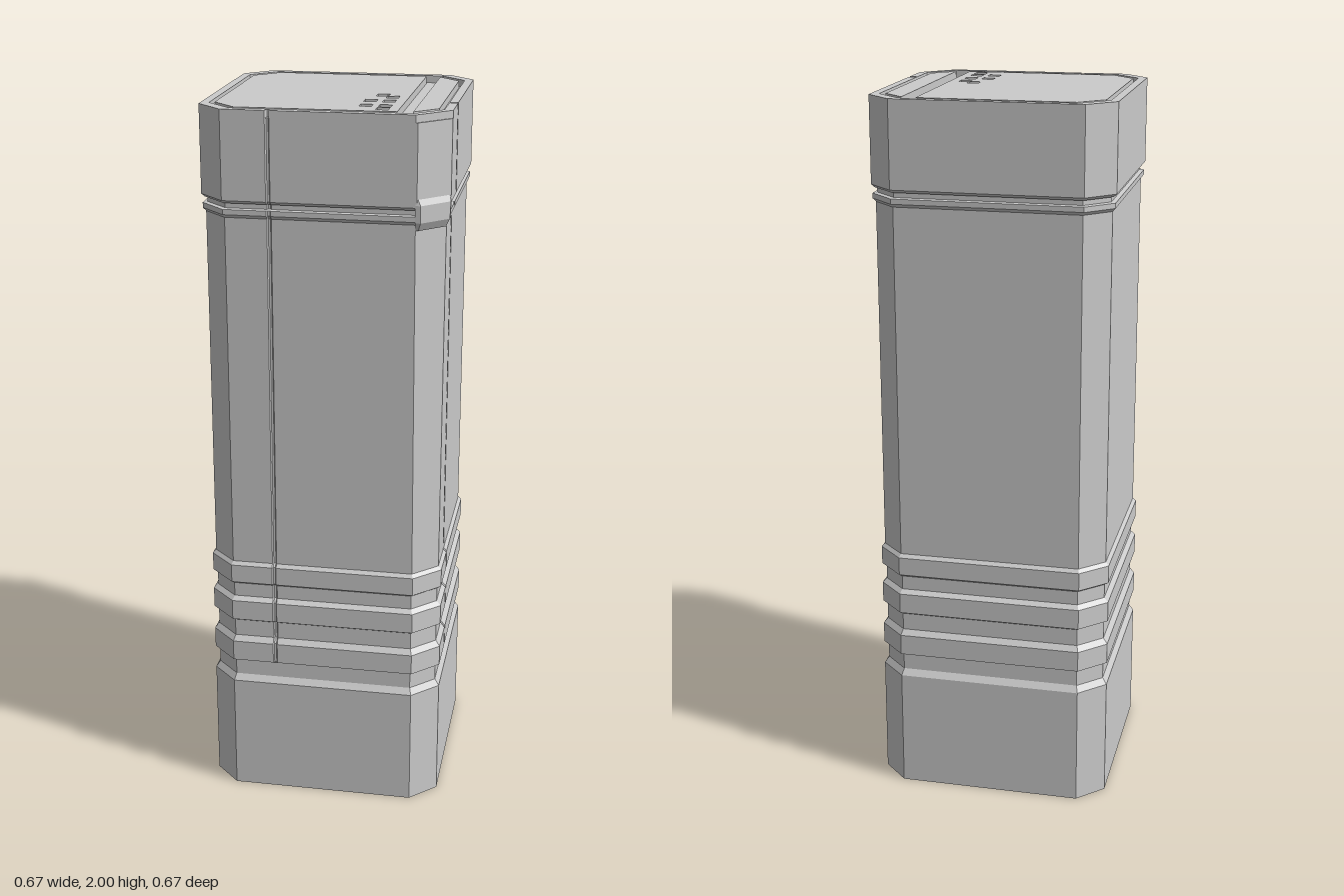
import * as THREE from 'three';

const material = new THREE.MeshStandardMaterial({ color: 0xcccccc, flatShading: true });

// Chamfered square outline [x, z], with two seam notches beside the front-left corner.
// h: half width, cut: extra chamfer of that corner, d: notch depth
function outline(h, cut = 0, d = 0.005) {
  const e = 0.26 - (0.333 - h) * 0.414;
  return [
    [-e, h], [-0.142, h], [-0.139, h - d], [-0.133, h - d], [-0.13, h], [e - cut, h],
    [h, e - cut], [h, 0.14], [h - d, 0.138], [h - d, 0.132], [h, 0.13], [h, -e],
    [e, -h], [-e, -h], [-h, -e], [-h, e],
  ];
}

// Closed loft through outlines; rows are [y, outline]
function loft(rows) {
  const pos = [];
  const tri = (...pts) => pts.forEach((p) => pos.push(...p));
  const rings = rows.map(([y, pts]) => pts.map(([x, z]) => [x, y, z]));
  const n = rings[0].length;
  const last = rings.length - 1;
  for (let i = 0; i < n; i++) {
    const j = (i + 1) % n;
    for (let r = 0; r < last; r++) {
      const a = rings[r], b = rings[r + 1];
      tri(a[i], a[j], b[j]);
      tri(a[i], b[j], b[i]);
    }
    tri([0, rows[0][0], 0], rings[0][j], rings[0][i]);
    tri([0, rows[last][0], 0], rings[last][i], rings[last][j]);
  }
  const g = new THREE.BufferGeometry();
  g.setAttribute('position', new THREE.Float32BufferAttribute(pos, 3));
  g.computeVertexNormals();
  return g;
}

const toVectors = (pts) => pts.map(([x, z]) => new THREE.Vector2(x, -z));

// Flat plate with holes, standing on height y
function plate(pts, holes, y, depth) {
  const shape = new THREE.Shape(toVectors(pts));
  holes.forEach((hole) => shape.holes.push(new THREE.Path(toVectors(hole))));
  const g = new THREE.ExtrudeGeometry(shape, { depth, bevelEnabled: false });
  g.rotateX(-Math.PI / 2);
  g.translate(0, y, 0);
  return g;
}

const octagon = (h, e) => [
  [-e, h], [e, h], [h, e], [h, -e], [e, -h], [-e, -h], [-h, -e], [-h, e],
];

export function createModel() {
  const group = new THREE.Group();
  const add = (name, geometry) => {
    const mesh = new THREE.Mesh(geometry, material);
    mesh.name = name;
    group.add(mesh);
  };

  // Base block and three raised ribs: [y, half width, notch depth]
  const lower = [
    [0, 0.331, 0], [0.342, 0.331, 0], [0.36, 0.319, 0], [0.405, 0.319, 0],
    [0.411, 0.331], [0.47, 0.331], [0.486, 0.319], [0.535, 0.319],
    [0.542, 0.331], [0.6, 0.331], [0.612, 0.319], [0.652, 0.319],
    [0.66, 0.331], [0.712, 0.331], [0.722, 0.322],
  ].map(([y, h, d]) => [y, outline(h, 0, d)]);
  // Plain shaft and collar below the lid
  const shaft = [[1.715, 0.322], [1.724, 0.33], [1.738, 0.33], [1.74, 0.318]]
    .map(([y, h]) => [y, outline(h, 0.006)]);
  add('body', loft([...lower, ...shaft]));

  // Lid
  add('lidNeck', loft([[1.738, outline(0.318)], [1.757, outline(0.318)]]));
  add('lid', loft([
    [1.754, outline(0.325, 0.006)], [1.762, outline(0.333, 0.006)], [1.98, outline(0.333, 0.006)],
  ]));
  add('lidRim', plate(outline(0.333, 0.012, 0.02), [octagon(0.31, 0.24)], 1.98, 0.02));

  // Lid top: main panel with small square recesses, and a side strip
  const s = 0.0165;
  const squares = [
    [0.122, 0.045], [0.152, 0.072], [0.102, 0.138], [0.152, 0.138],
    [0.102, 0.212], [0.152, 0.212], [0.152, 0.256],
  ].map(([x, z]) => [[x - s, z - s], [x + s, z - s], [x + s, z + s], [x - s, z + s]]);
  add('topPanel', plate([
    [-0.232, 0.295], [0.195, 0.295], [0.195, -0.297],
    [-0.232, -0.297], [-0.297, -0.232], [-0.297, 0.23],
  ], squares, 1.98, 0.02));
  add('topStrip', plate([
    [0.235, 0.29], [0.295, 0.23], [0.295, -0.23], [0.235, -0.29],
  ], [], 1.98, 0.02));

  // Clasp over the front-left corner, bridging lid and body
  const clasp = (h, e) => [[0.25, h], [e, h], [h, e], [h, 0.25], [0.25, 0.25]];
  const claspShape = (y, h, e) => [y, clasp(h, e).map(([x, z]) => [x, z])];
  const claspGeometry = loft([
    claspShape(1.7, 0.322, 0.257), claspShape(1.722, 0.332, 0.264),
    claspShape(1.768, 0.334, 0.264), claspShape(1.785, 0.33, 0.256),
  ].map(([y, pts]) => [y, pts]));
  add('cornerClasp', claspGeometry);

  return group;
}
